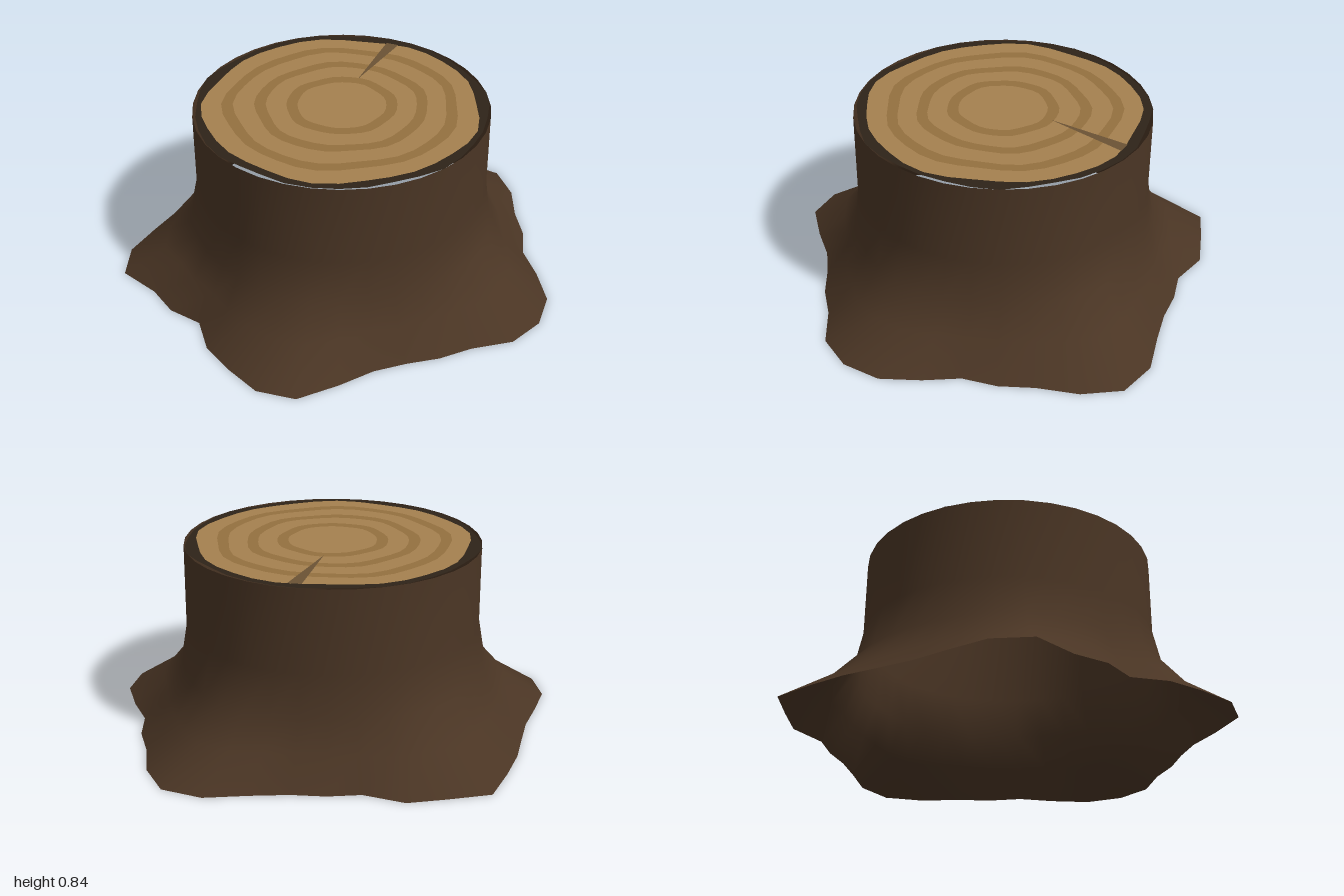
import * as THREE from 'three';

const SIDES = 36, TOP = 0.835, TRUNK = 0.67;
const CENTER = { x: -0.03, z: -0.04 };

// Root spread at ground level, every 10 degrees clockwise from the back
const ROOTS = [
  0.86, 0.915, 1.02, 1.07, 1.015, 0.935, 0.915, 0.885, 0.945,
  1.02, 1.04, 1.005, 0.905, 0.875, 0.845, 0.855, 0.93, 1.03,
  1.03, 0.965, 0.915, 0.835, 0.90, 0.93, 1.05, 1.03, 0.955,
  0.91, 0.915, 0.95, 0.995, 1.065, 0.995, 0.955, 0.85, 0.855,
];

// One closed loop of points; radius(i, angle) gives its outline
function loop(y, radius) {
  return ROOTS.map((_, i) => {
    const a = (i / SIDES) * Math.PI * 2, r = radius(i, a);
    return [CENTER.x + r * Math.sin(a), y, CENTER.z - r * Math.cos(a)];
  });
}

// Skin a stack of loops, ordered from the bottom up and then inward
function loft(name, loops, color) {
  const index = [];
  for (let l = 0; l < loops.length - 1; l++) {
    for (let i = 0; i < SIDES; i++) {
      const a = l * SIDES + i, b = l * SIDES + (i + 1) % SIDES;
      index.push(a, a + SIDES, b, b, a + SIDES, b + SIDES);
    }
  }
  const geometry = new THREE.BufferGeometry();
  geometry.setAttribute('position', new THREE.Float32BufferAttribute(loops.flat(2), 3));
  geometry.setIndex(index);
  geometry.computeVertexNormals();
  const material = new THREE.MeshStandardMaterial({ color, side: THREE.DoubleSide });
  const mesh = new THREE.Mesh(geometry, material);
  mesh.name = name;
  return mesh;
}

export function createModel() {
  const group = new THREE.Group();
  group.name = 'treeStump';

  // Open bark shell: height and share of the root flare at each level
  const levels = [[0, 1], [0.13, 0.46], [0.27, 0.13], [0.46, 0.01], [TOP, 0]];
  const bark = levels.map(([y, flare]) => loop(y, (i) => TRUNK + (ROOTS[i] - TRUNK) * flare));
  group.add(loft('bark', bark, 0x4a3524));

  // Cut face: uneven bark edge, then growth rings down to the heart
  const edge = (i, a) => 0.66 + 0.008 * Math.sin(7 * a) + 0.004 * Math.cos(12 * a);
  const ring = (r) => (i, a) => r * (1 + 0.015 * Math.sin(5 * a + r * 9) + 0.01 * Math.sin(9 * a));
  const radii = [0.62, 0.53, 0.48, 0.39, 0.34, 0.25, 0.2, 0];
  const outlines = [edge, ...radii.map(ring)];
  for (let k = 0; k < outlines.length - 1; k++) {
    const name = k === 0 ? 'barkEdge' : `growthRing${k}`;
    const color = k === 0 ? 0x2e2318 : k % 2 ? 0xa5814f : 0x94703f;
    group.add(loft(name, [loop(TOP, outlines[k]), loop(TOP, outlines[k + 1])], color));
  }

  // Narrow drying crack running from the back edge toward the heart
  const shape = new THREE.Shape();
  shape.moveTo(-0.01, 0.24);
  shape.lineTo(0.06, 0.62);
  shape.lineTo(0.0, 0.62);
  const crack = new THREE.Mesh(
    new THREE.ShapeGeometry(shape),
    new THREE.MeshStandardMaterial({ color: 0x6b5234 })
  );
  crack.name = 'crack';
  crack.rotation.x = -Math.PI / 2;
  crack.position.set(CENTER.x, TOP + 0.002, CENTER.z);
  group.add(crack);

  return group;
}
